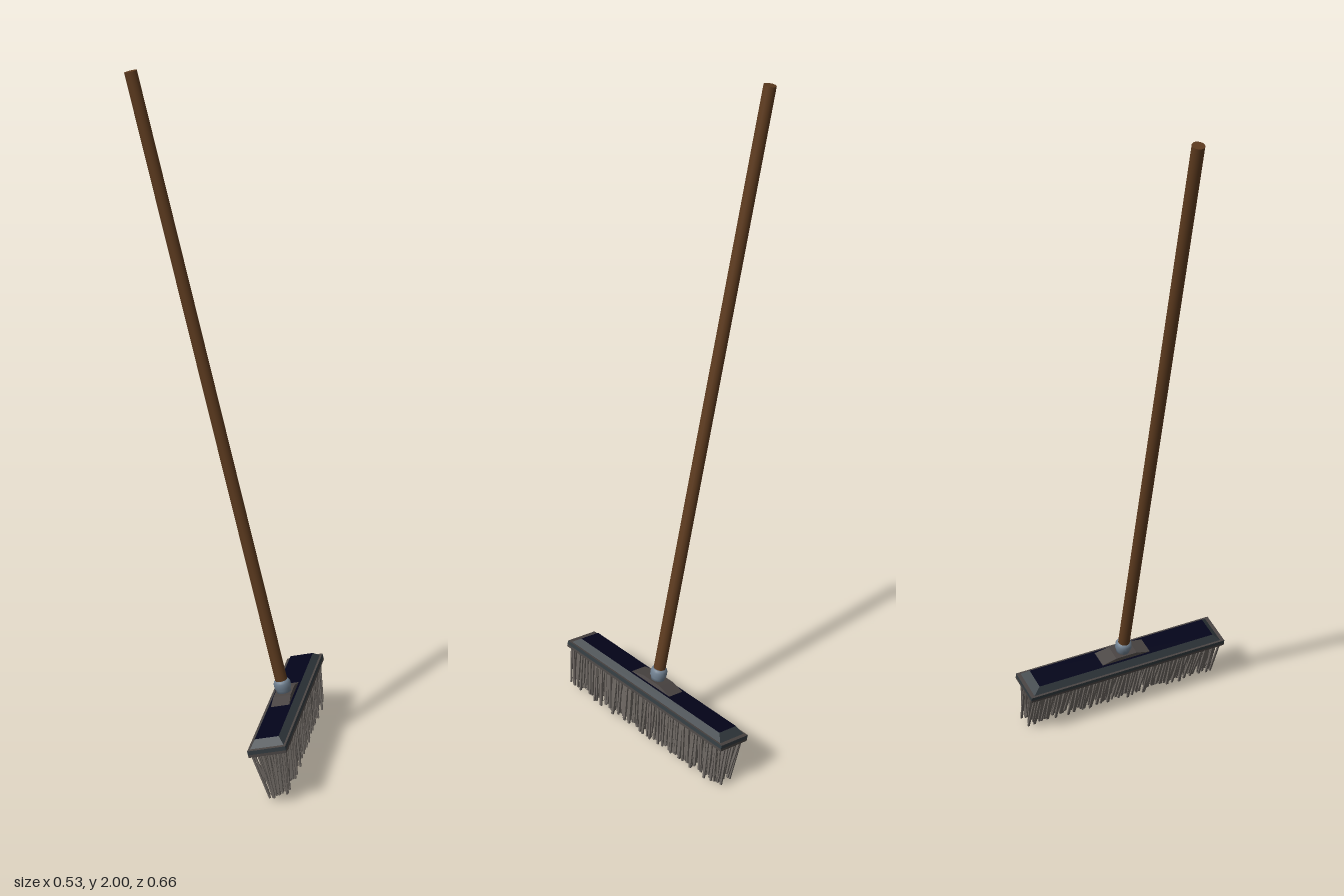
import * as THREE from 'three';
import { mergeGeometries } from 'three/addons/utils/BufferGeometryUtils.js';

const mat = (name, color) => {
  const m = new THREE.MeshStandardMaterial({ color });
  m.name = name;
  return m;
};

// Box whose top is narrower than its base, standing on y0
function frustum(baseX, baseZ, topX, topZ, y0, h) {
  const g = new THREE.BoxGeometry(2, h, 2);
  const p = g.attributes.position;
  for (let i = 0; i < p.count; i++) {
    const top = p.getY(i) > 0;
    p.setX(i, p.getX(i) * (top ? topX : baseX));
    p.setZ(i, p.getZ(i) * (top ? topZ : baseZ));
  }
  g.translate(0, y0 + h / 2, 0);
  g.computeVertexNormals();
  return g;
}

export function createModel() {
  const wood = mat('wood', 0x5c3a1e);
  const slate = mat('slate', 0x333b40);
  const navy = mat('navy', 0x03041a);
  const taupe = mat('taupe', 0x4a4543);
  const bristle = mat('bristle', 0x6b6560);
  const steel = mat('steel', 0x708090);

  const model = new THREE.Group();
  model.name = 'pushBroom';
  const broom = new THREE.Group();
  broom.name = 'tiltedBroom';
  broom.position.set(0.2015, 0.153, 0);
  broom.rotation.z = Math.atan2(0.4495, 1.843);
  model.add(broom);

  const add = (name, geometry, material) => {
    const m = new THREE.Mesh(geometry, material);
    m.name = name;
    broom.add(m);
    return m;
  };

  // Head: base slab, rim, bevelled block with a dark top, and mounting plate
  add('baseSlab', frustum(0.0555, 0.332, 0.0555, 0.332, -0.01, 0.008), taupe);
  add('rim', frustum(0.0555, 0.332, 0.0555, 0.332, -0.002, 0.012),
    [slate, slate, taupe, taupe, slate, slate]);
  add('block', frustum(0.049, 0.32, 0.035, 0.298, 0.01, 0.019),
    [slate, slate, navy, slate, slate, slate]);
  add('mountingPlate', frustum(0.028, 0.081, 0.026, 0.035, 0.029, 0.011), taupe);

  // Collar around the foot of the handle
  const collar = [[0, 0.036], [0.021, 0.036], [0.021, 0.048], [0.025, 0.054], [0.025, 0.068],
    [0.022, 0.075], [0.018, 0.077]].map(([x, y]) => new THREE.Vector2(x, y));
  add('collar', new THREE.LatheGeometry(collar, 20), steel);

  // Handle
  const handle = new THREE.CylinderGeometry(0.018, 0.018, 1.85, 16);
  handle.translate(0, 1.897 - 0.925, 0);
  add('handle', handle, wood);

  // Bristles: jittered rows of flat-sided tufts that converge towards the tips
  let seed = 7;
  const rand = () => (seed = (seed * 16807) % 2147483647) / 2147483647;
  const jitter = (a) => (rand() * 2 - 1) * a;
  const tufts = [];
  const up = new THREE.Vector3(0, 1, 0);
  const rows = 7, columns = 56;
  for (let r = 0; r < rows; r++) {
    for (let c = 0; c < columns; c++) {
      const u = (r / (rows - 1)) * 2 - 1;
      const v = (c / (columns - 1)) * 2 - 1;
      const root = new THREE.Vector3(u * 0.045 + jitter(0.003), -0.008, v * 0.32 + jitter(0.004));
      const tip = new THREE.Vector3(u * 0.026 - 0.002 + jitter(0.005),
        -0.147 + rand() * rand() * 0.035, v * 0.318 + jitter(0.007));
      const dir = root.clone().sub(tip);
      const g = new THREE.BoxGeometry(0.005, dir.length(), 0.005 + rand() * 0.003);
      g.applyQuaternion(new THREE.Quaternion().setFromUnitVectors(up, dir.normalize()));
      const mid = root.add(tip).multiplyScalar(0.5);
      g.translate(mid.x, mid.y, mid.z);
      tufts.push(g);
    }
  }
  add('bristles', mergeGeometries(tufts), bristle);

  return model;
}
